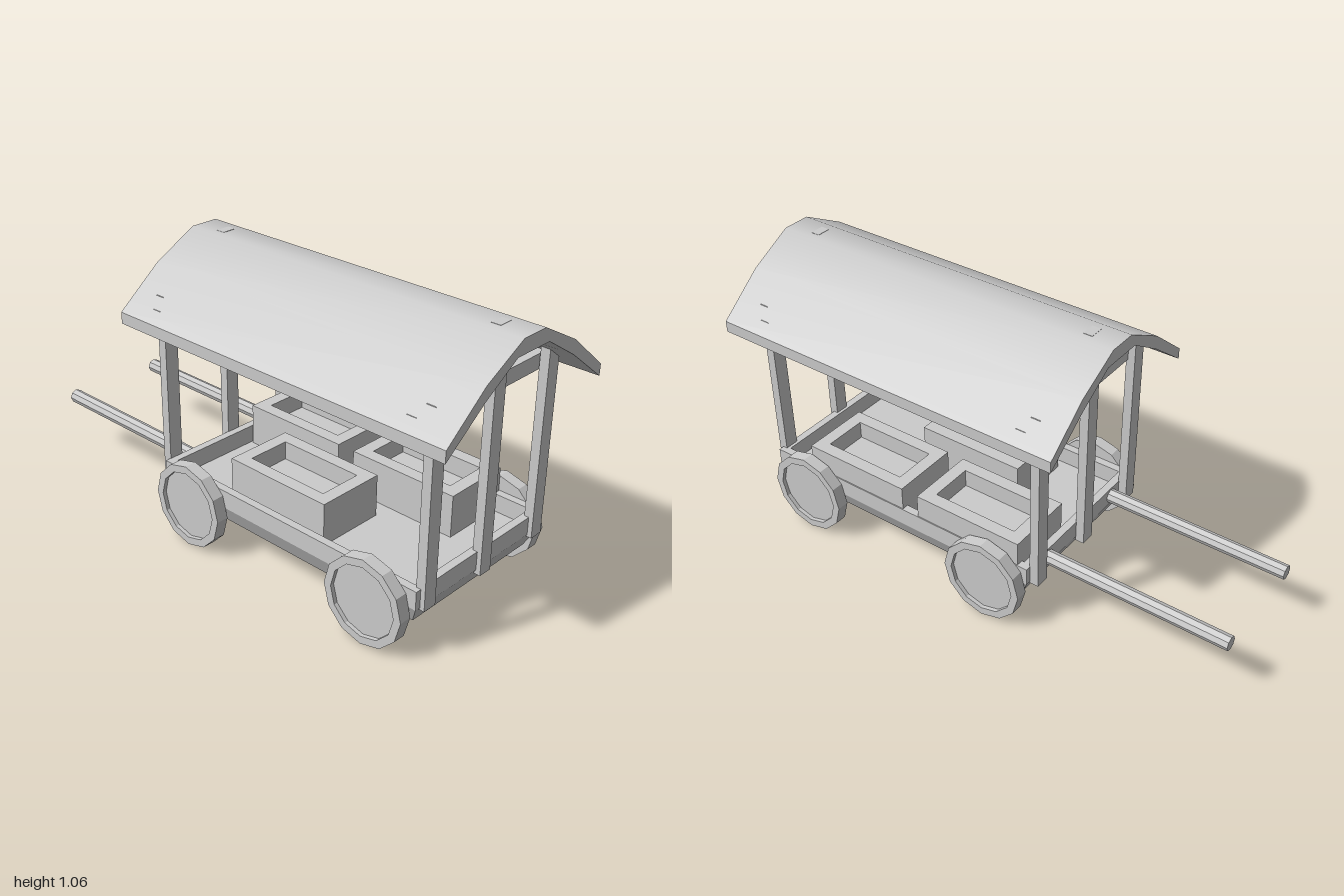
import * as THREE from 'three';
import { toCreasedNormals } from 'three/addons/utils/BufferGeometryUtils.js';

export function createModel() {
  const cart = new THREE.Group();
  cart.name = 'marketCart';
  const mat = new THREE.MeshStandardMaterial({ color: 0xcccccc });
  const flat = new THREE.MeshStandardMaterial({ color: 0xcccccc, flatShading: true });

  const add = (name, geo, material = flat, parent = cart) => {
    const mesh = new THREE.Mesh(geo, material);
    mesh.name = name;
    parent.add(mesh);
    return mesh;
  };
  // Box given by its minimum and maximum on each axis
  const box = (name, x0, x1, y0, y1, z0, z1) =>
    add(name, new THREE.BoxGeometry(x1 - x0, y1 - y0, z1 - z0))
      .position.set((x0 + x1) / 2, (y0 + y1) / 2, (z0 + z1) / 2);
  // Rectangular frame without top or bottom, standing on y0
  const frame = (name, x0, x1, y0, y1, z0, z1, t) => {
    const s = new THREE.Shape([[x0, -z1], [x1, -z1], [x1, -z0], [x0, -z0]]
      .map(p => new THREE.Vector2(...p)));
    s.holes.push(new THREE.Path([[x0 + t, -z1 + t], [x0 + t, -z0 - t], [x1 - t, -z0 - t], [x1 - t, -z1 + t]]
      .map(p => new THREE.Vector2(...p))));
    const g = new THREE.ExtrudeGeometry(s, { depth: y1 - y0, bevelEnabled: false });
    g.rotateX(-Math.PI / 2);
    g.translate(0, y0, 0);
    add(name, g);
  };

  // Tray: tapered bed with a low rim
  const bedX0 = -0.285, bedX1 = 0.88, bedZ = 0.337;
  const bed = new THREE.BoxGeometry(bedX1 - bedX0, 0.075, bedZ * 2);
  const p = bed.attributes.position;
  for (let i = 0; i < p.count; i++) {
    if (p.getY(i) > 0) continue;
    p.setX(i, p.getX(i) - Math.sign(p.getX(i)) * 0.037);
    p.setZ(i, p.getZ(i) - Math.sign(p.getZ(i)) * 0.037);
  }
  add('bed', bed).position.set((bedX0 + bedX1) / 2, 0.1575, 0);
  frame('trayRim', bedX0, bedX1, 0.195, 0.263, -bedZ, bedZ, 0.03);

  // Three open crates
  for (const [x, z] of [[-0.005, 0.003], [-0.245, -0.333], [0.265, -0.333]]) {
    frame('crateWalls', x, x + 0.44, 0.19, 0.355, z, z + 0.268, 0.05);
    box('crateFloor', x + 0.045, x + 0.395, 0.19, 0.285, z + 0.045, z + 0.223);
  }

  // Posts and crossbars at both ends
  for (const [postX, barX] of [[-0.318, -0.29], [0.862, 0.822]]) {
    for (const side of [-1, 1])
      box('cornerPost', postX, postX + 0.035, 0.187, 0.894, side * 0.2875 - 0.0275, side * 0.2875 + 0.0275);
    box('middlePost', postX, postX + 0.035, 0.177, 1.057, -0.0275, 0.0275);
    box('crossbar', barX, barX + 0.037, 0.805, 0.861, -0.355, 0.355);
  }

  // Arched roof, smooth along its slopes
  const outer = [[0.397, 0.826], [0.225, 0.965], [0.055, 1.056]];
  const inner = [[0.397, 0.783], [0.225, 0.913], [0.08, 1.003]];
  const mirror = pts => [...pts, ...pts.slice().reverse().map(([z, y]) => [-z, y])];
  const profile = new THREE.Shape([...mirror(outer), ...mirror(inner).reverse()]
    .map(q => new THREE.Vector2(...q)));
  const roof = new THREE.ExtrudeGeometry(profile, { depth: 1.415, bevelEnabled: false });
  roof.rotateY(Math.PI / 2);
  roof.translate(-0.415, 0, 0);
  add('roof', toCreasedNormals(roof, 0.56), mat);

  // Twelve-sided wheels with a recessed face on the outside
  const wheelGeo = new THREE.LatheGeometry(
    [[0, 0], [0.16, 0], [0.16, 0.047], [0.131, 0.047], [0.131, 0.032], [0, 0.032]]
      .map(q => new THREE.Vector2(...q)), 12);
  wheelGeo.rotateX(Math.PI / 2);
  for (const x of [-0.122, 0.702])
    for (const side of [-1, 1]) {
      const wheel = add('wheel', wheelGeo);
      wheel.position.set(x, 0.16, side * 0.337);
      if (side < 0) wheel.rotation.y = Math.PI;
    }

  // Pull handles
  for (const z of [-0.205, 0.205]) {
    const handle = new THREE.CylinderGeometry(0.027, 0.027, 0.73, 8);
    handle.rotateZ(Math.PI / 2);
    add('handle', handle).position.set(-0.635, 0.23, z);
  }
  return cart;
}
